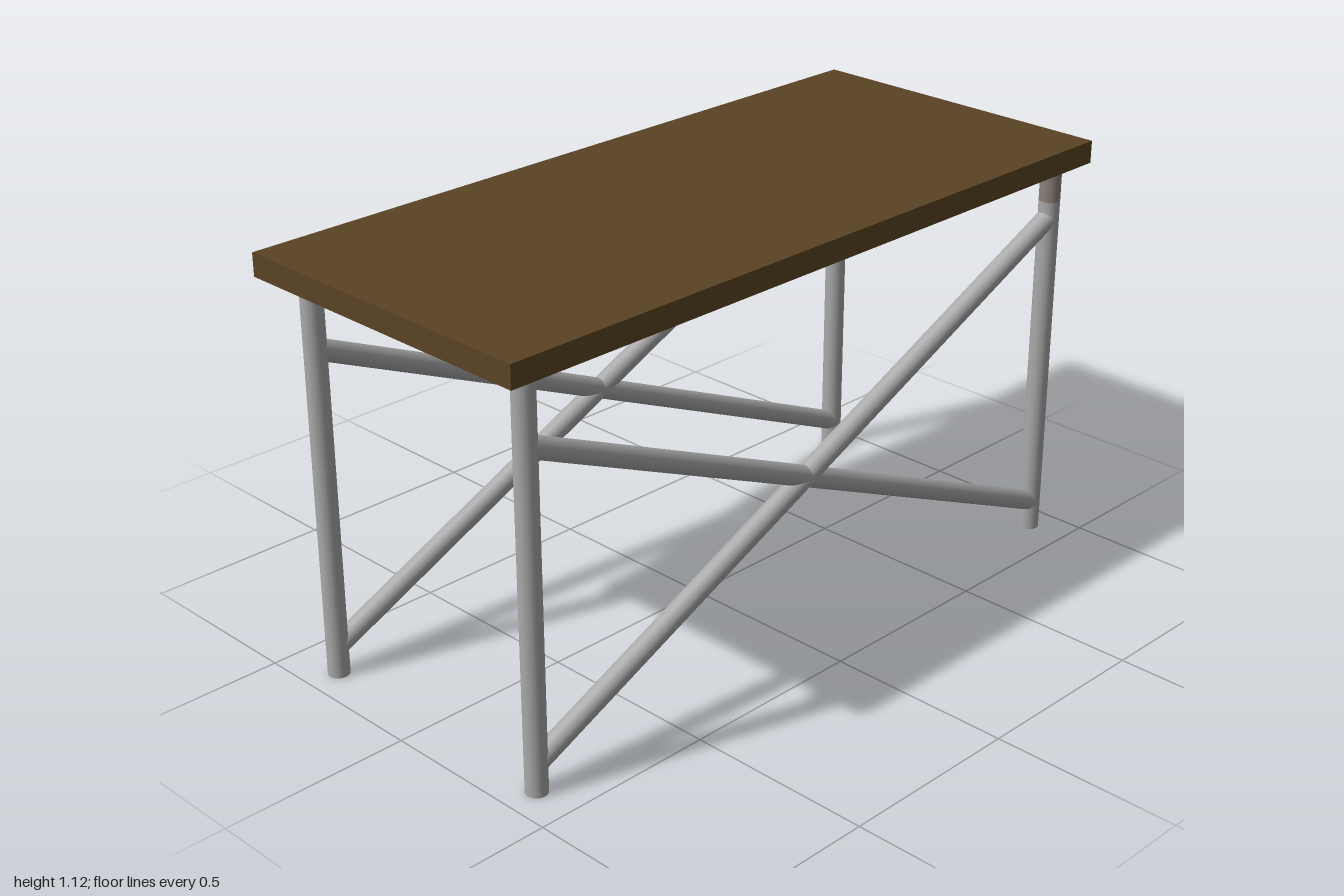
import * as THREE from 'three';

const mat = (name, color) => {
  const m = new THREE.MeshStandardMaterial({ color });
  m.name = name;
  return m;
};

export function createModel() {
  const wood = mat('dark wood', 0x5a4324);
  const metal = mat('grey metal', 0xa9a9a9);
  const taupe = mat('taupe', 0x898078);
  const table = new THREE.Group();
  table.name = 'table';

  // Round tube between two points
  const rod = (name, a, b, radius, material) => {
    const dir = b.clone().sub(a);
    const mesh = new THREE.Mesh(new THREE.CylinderGeometry(radius, radius, dir.length(), 32), material);
    mesh.name = name;
    mesh.position.copy(a).add(b).multiplyScalar(0.5);
    mesh.quaternion.setFromUnitVectors(new THREE.Vector3(0, 1, 0), dir.normalize());
    table.add(mesh);
  };
  const v = (x, y, z) => new THREE.Vector3(x, y, z);

  // Tabletop slab
  const top = new THREE.Mesh(new THREE.BoxGeometry(2, 0.06, 0.894), wood);
  top.name = 'tabletop';
  top.position.y = 1.085;
  table.add(top);

  const legX = 0.915, legR = 0.028, legTop = 1.056;
  for (const [side, z] of [['front', 0.386], ['back', -0.349]]) {
    // Legs; the left pair has taupe upper ends
    rod(side + 'RightLeg', v(-legX, 0, z), v(-legX, legTop, z), legR, metal);
    rod(side + 'LeftLeg', v(legX, 0, z), v(legX, 0.96, z), legR, metal);
    rod(side + 'LeftLegEnd', v(legX, 0.96, z), v(legX, legTop, z), legR, taupe);
    // Crossed braces
    rod(side + 'RisingBrace', v(-0.908, 0.08, z), v(0.908, 0.91, z), 0.027, metal);
    rod(side + 'FallingBrace', v(-0.908, 0.875, z), v(0.908, 0.08, z), 0.027, metal);
  }
  return table;
}
